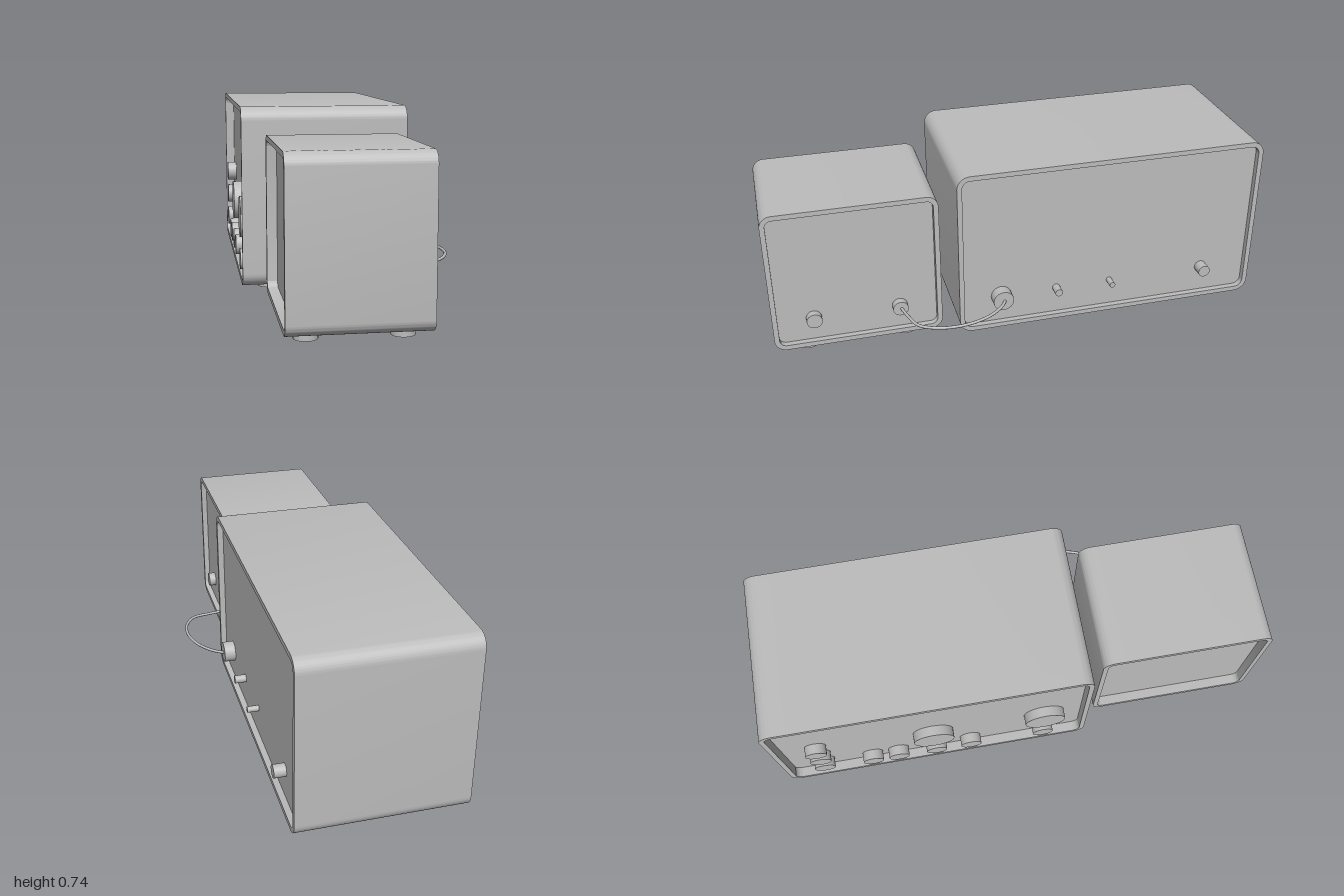
import * as THREE from 'three';
import { toCreasedNormals } from 'three/addons/utils/BufferGeometryUtils.js';

const grey = new THREE.MeshStandardMaterial({ color: 0xbcbcbc });
grey.name = 'cabinet grey';

function add(parent, name, geometry, x = 0, y = 0, z = 0) {
  const mesh = new THREE.Mesh(geometry, grey);
  mesh.name = name;
  mesh.position.set(x, y, z);
  parent.add(mesh);
  return mesh;
}

function roundedRect(path, w, h, r) {
  const x = w / 2, y = h / 2;
  path.moveTo(-x + r, -y);
  path.lineTo(x - r, -y);
  path.absarc(x - r, -y + r, r, -Math.PI / 2, 0);
  path.lineTo(x, y - r);
  path.absarc(x - r, y - r, r, 0, Math.PI / 2);
  path.lineTo(-x + r, y);
  path.absarc(-x + r, y - r, r, Math.PI / 2, Math.PI);
  path.lineTo(-x, -y + r);
  path.absarc(-x + r, -y + r, r, Math.PI, Math.PI * 1.5);
  return path;
}

// Extrudes a side outline along x, centred on the origin
function extrudeAlongX(shape, depth) {
  const g = new THREE.ExtrudeGeometry(shape, { depth, bevelEnabled: false, curveSegments: 10 });
  g.translate(0, 0, -depth / 2);
  g.rotateY(Math.PI / 2);
  return toCreasedNormals(g, 0.6);
}

// Round knob or socket whose axis runs along x, from x0 to x1
function knob(parent, name, x0, x1, y, z, r) {
  const g = new THREE.CylinderGeometry(r, r, x1 - x0, 32).rotateZ(Math.PI / 2);
  return add(parent, name, g, (x0 + x1) / 2, y, z);
}

// Open-ended rounded sleeve, recessed end panels and four round feet
function cabinet(name, s) {
  const group = new THREE.Group();
  group.name = name;
  const w = s.x1 - s.x0, h = s.y1 - s.y0, d = s.z1 - s.z0;
  const cx = (s.x0 + s.x1) / 2, cy = (s.y0 + s.y1) / 2, cz = (s.z0 + s.z1) / 2;
  const t = 0.02;

  const outline = roundedRect(new THREE.Shape(), d, h, s.r);
  outline.holes.push(roundedRect(new THREE.Path(), d - 2 * t, h - 2 * t, s.r - t));
  add(group, 'sleeve', extrudeAlongX(outline, w), cx, cy, cz);

  const panel = roundedRect(new THREE.Shape(), d - 2 * t + 0.004, h - 2 * t + 0.004, s.r - t);
  add(group, 'controlPanel', extrudeAlongX(panel, 0.02), s.x0 + 0.05, cy, cz);
  add(group, 'rearPanel', extrudeAlongX(panel, 0.02), s.x1 - 0.034, cy, cz);

  for (const side of [-1, 1]) {
    for (const z of s.footZ) {
      const foot = new THREE.CylinderGeometry(s.footR, s.footR, s.y0 + 0.002, 32);
      add(group, 'foot', foot, cx + side * s.footX, s.y0 / 2 + 0.001, z);
    }
  }
  return group;
}

export function createModel() {
  const model = new THREE.Group();
  model.name = 'receiverWithSpeaker';

  // Large receiver cabinet
  const receiver = cabinet('receiver', {
    x0: -0.4, x1: 0.25, y0: 0.035, y1: 0.738, z0: -1, z1: 0.265,
    r: 0.052, footX: 0.203, footR: 0.05, footZ: [0.08, -0.81],
  });
  model.add(receiver);

  // Tuning dials, then the column and row of small knobs
  for (const z of [-0.373, 0.09]) knob(receiver, 'tuningDial', -0.4, -0.358, 0.287, z, 0.083);
  for (const y of [0.14, 0.25, 0.36]) knob(receiver, 'sideKnob', -0.4, -0.358, y, -0.846, 0.043);
  for (const z of [-0.644, -0.534, -0.373, -0.225, 0.085]) {
    knob(receiver, 'lowerKnob', -0.4, -0.358, 0.113, z, 0.043);
  }

  // Rear sockets: z position and radius
  for (const [z, r] of [[0.088, 0.042], [-0.145, 0.016], [-0.375, 0.012], [-0.785, 0.025]]) {
    knob(receiver, 'rearSocket', 0.224, 0.272, 0.171, z, r);
  }

  // Smaller speaker cabinet
  const speaker = cabinet('speaker', {
    x0: -0.312, x1: 0.187, y0: 0.035, y1: 0.64, z0: 0.325, z1: 1,
    r: 0.047, footX: 0.167, footR: 0.043, footZ: [0.47, 0.865],
  });
  model.add(speaker);
  for (const z of [0.494, 0.837]) knob(speaker, 'speakerSocket', 0.16, 0.193, 0.154, z, 0.031);

  // Cable joining the two cabinets
  const cablePath = new THREE.CatmullRomCurve3([
    [0.265, 0.171, 0.08], [0.31, 0.171, 0.11], [0.36, 0.171, 0.175], [0.39, 0.17, 0.275],
    [0.38, 0.167, 0.375], [0.335, 0.162, 0.448], [0.26, 0.157, 0.475], [0.188, 0.154, 0.492],
  ].map((p) => new THREE.Vector3(...p)));
  add(model, 'cable', new THREE.TubeGeometry(cablePath, 60, 0.006, 10));

  return model;
}
